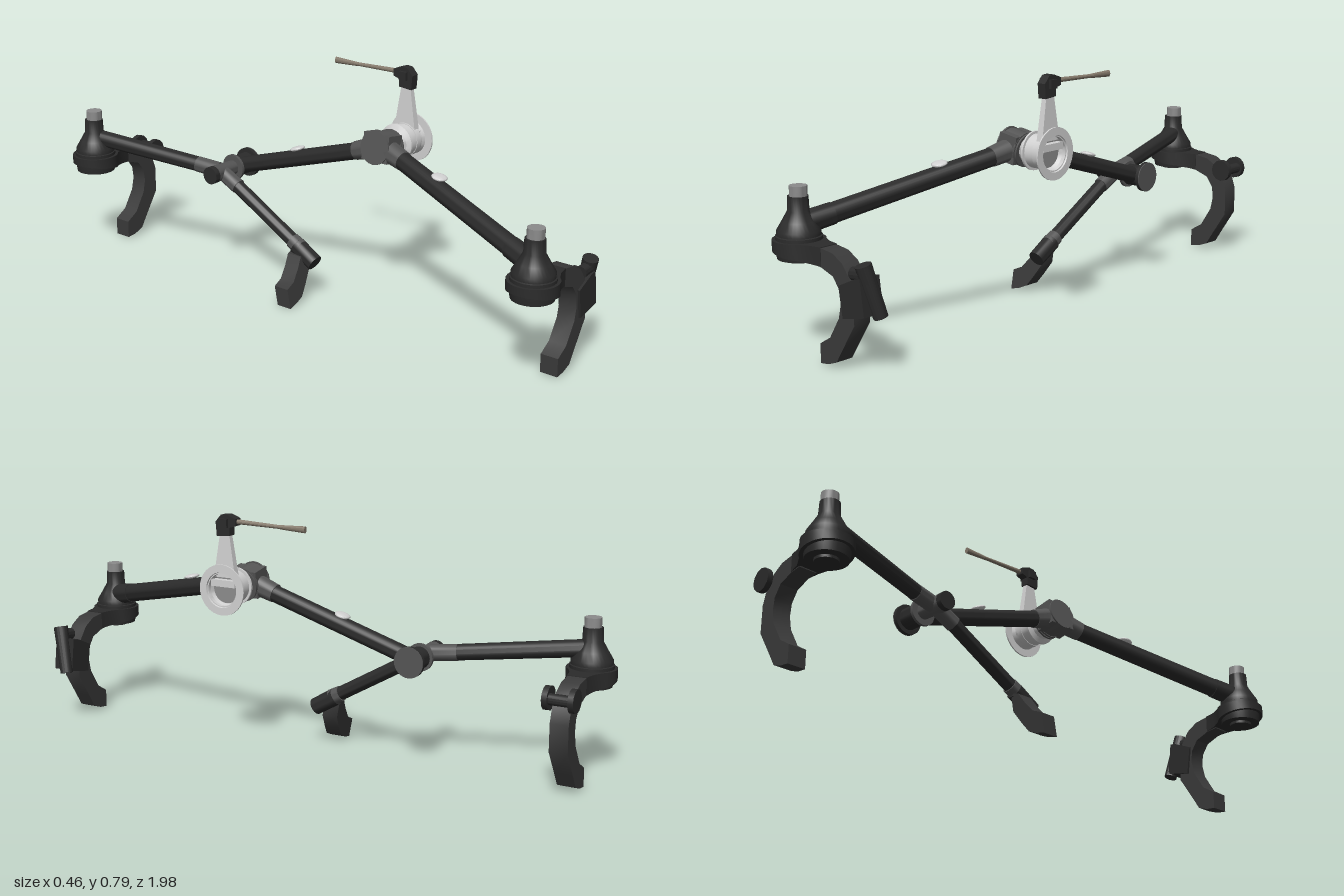
import * as THREE from 'three';
import { toCreasedNormals } from 'three/addons/utils/BufferGeometryUtils.js';

const mat = (name, color) => {
  const m = new THREE.MeshStandardMaterial({ color, side: THREE.DoubleSide });
  m.name = name;
  return m;
};

export function createModel() {
  const dark = mat('dark plastic', 0x2b2b2b);
  const arm = mat('charcoal arm', 0x3a3a3a);
  const joint = mat('grey joint', 0x555555);
  const cap = mat('grey cap', 0x8c8c8c);
  const light = mat('light grey', 0xd2d2d2);
  const beige = mat('beige rod', 0x857a6c);
  const root = new THREE.Group();
  root.name = 'frame';
  const V = (p) => new THREE.Vector3(...p);

  const add = (name, geo, m, parent = root) => {
    const mesh = new THREE.Mesh(toCreasedNormals(geo, 0.6), m);
    mesh.name = name;
    parent.add(mesh);
    return mesh;
  };
  // Round bar from point a to point b
  const rod = (name, a, b, ra, rb, m, parent = root, sides = 24) => {
    const d = V(b).sub(V(a));
    const mesh = add(name, new THREE.CylinderGeometry(rb, ra, d.length(), sides), m, parent);
    mesh.position.copy(V(a)).addScaledVector(d, 0.5);
    mesh.quaternion.setFromUnitVectors(new THREE.Vector3(0, 1, 0), d.normalize());
    return mesh;
  };
  const box = (name, size, pos, m, parent = root) => {
    const mesh = add(name, new THREE.BoxGeometry(...size), m, parent);
    mesh.position.set(...pos);
    return mesh;
  };
  // Outline in x and y, extruded evenly about z = 0
  const slab = (pts, depth) => {
    const shape = new THREE.Shape(pts.map((p) => new THREE.Vector2(...p)));
    return new THREE.ExtrudeGeometry(shape, { depth, bevelEnabled: false }).translate(0, 0, -depth / 2);
  };
  const lathe = (pts) => new THREE.LatheGeometry(pts.map((p) => new THREE.Vector2(...p)), 32);

  // End supports: foot plate, cone, post and curved hook
  const hookOutline = [
    [-0.06, 0.352], [-0.02, 0.35], [0.03, 0.343], [0.07, 0.32], [0.1, 0.28], [0.115, 0.235], [0.115, 0.145],
    [0.06, 0.06], [0.035, 0.02], [0, 0.007], [-0.034, 0.003], [-0.034, 0.063], [0.01, 0.09], [0.05, 0.155],
    [0.06, 0.2], [0.055, 0.24], [0.03, 0.275], [-0.02, 0.293], [-0.06, 0.297],
  ];
  const support = (name, z) => {
    const g = new THREE.Group();
    g.name = name;
    g.position.z = z;
    root.add(g);
    // Teardrop plate, thicker towards the hook
    const outline = [];
    for (let i = 0; i <= 24; i++) {
      const a = 0.75 + (i / 24) * (Math.PI * 2 - 1.5);
      outline.push([-0.15 + 0.08 * Math.cos(a), 0.08 * Math.sin(a)]);
    }
    outline.push([-0.06, -0.039], [-0.02, -0.031], [-0.02, 0.031], [-0.06, 0.039]);
    const plate = slab(outline, 0.03).rotateX(-Math.PI / 2);
    const p = plate.attributes.position;
    for (let i = 0; i < p.count; i++) {
      const bottom = 0.325 - 0.03 * Math.min(1, (p.getX(i) + 0.23) / 0.19);
      p.setY(i, p.getY(i) > 0 ? 0.352 : bottom);
    }
    add('footPlate', plate, dark, g);
    add('hook', slab(hookOutline, 0.06), arm, g);
    add('hub', lathe([[0, 0.285], [0.038, 0.285], [0.038, 0.294], [0.066, 0.294], [0.07, 0.325], [0.07, 0.362],
      [0.066, 0.364], [0.066, 0.378], [0.05, 0.405], [0.033, 0.435], [0.031, 0.48], [0, 0.48]]), dark, g)
      .position.x = -0.15;
    rod('postCap', [-0.147, 0.48, 0], [-0.147, 0.511, 0], 0.027, 0.027, cap, g);
    return g;
  };
  const front = support('frontSupport', 0.91);
  const rear = support('rearSupport', -0.91);

  // Front strap buckle
  const buckle = new THREE.Group();
  buckle.name = 'strapBuckle';
  front.add(buckle);
  add('buckleBody', slab([[0.06, 0.255], [0.125, 0.285], [0.15, 0.29], [0.165, 0.18], [0.135, 0.173], [0.075, 0.16]], 0.075), dark, buckle);
  rod('buckleLever', [0.147, 0.328, 0.02], [0.172, 0.172, -0.02], 0.025, 0.022, dark, buckle, 16);
  rod('bucklePin', [0.1, 0.295, 0.015], [0.15, 0.3, 0.015], 0.02, 0.02, dark, buckle, 12);

  // Rear strap reel
  for (const s of [-1, 1])
    rod('reelCheek', [0.105, 0.31, s * 0.032], [0.105, 0.31, s * 0.05], 0.038, 0.038, dark, rear, 12);
  rod('reelAxle', [0.118, 0.31, -0.04], [0.118, 0.31, 0.04], 0.018, 0.018, dark, rear, 16);

  // Main arms with grey collars
  rod('frontArm', [-0.14, 0.398, 0.89], [0.05, 0.53, 0.29], 0.032, 0.03, dark);
  rod('frontArmSocket', [-0.15, 0.392, 0.92], [-0.115, 0.415, 0.81], 0.036, 0.034, dark);
  rod('frontArmCollar', [0.047, 0.528, 0.3], [0.062, 0.545, 0.23], 0.032, 0.036, joint);
  rod('middleArm', [0.065, 0.52, 0.11], [0.065, 0.365, -0.39], 0.028, 0.028, dark);
  rod('middleArmCollar', [0.065, 0.545, 0.18], [0.065, 0.518, 0.1], 0.036, 0.031, joint);
  rod('rearArm', [-0.045, 0.371, -0.5], [-0.14, 0.412, -0.89], 0.026, 0.028, dark);
  rod('rearArmCollar', [-0.03, 0.363, -0.42], [-0.046, 0.371, -0.505], 0.027, 0.027, joint);
  rod('lowerArmCollar', [-0.03, 0.36, -0.41], [-0.03, 0.322, -0.335], 0.026, 0.026, joint);
  rod('lowerArm', [-0.03, 0.325, -0.34], [-0.03, 0.18, -0.085], 0.023, 0.023, dark);
  rod('lowerArmRing', [-0.03, 0.185, -0.095], [-0.03, 0.167, -0.06], 0.026, 0.027, joint);
  for (const pos of [[-0.004, 0.527, 0.475], [0.065, 0.473, -0.15]]) {
    const button = add('armButton', new THREE.SphereGeometry(0.026, 20, 10), light);
    button.scale.y = 0.3;
    button.position.set(...pos);
    button.rotation.x = pos[2] > 0 ? 0.2 : -0.3;
  }

  // Centre joint, slightly tilted
  const centre = new THREE.Group();
  centre.name = 'centreJoint';
  centre.position.set(0.066, 0.55, 0.2);
  centre.rotation.z = -0.17;
  root.add(centre);
  rod('jointBody', [-0.035, 0, 0], [0.035, 0, 0], 0.052, 0.052, joint, centre, 16);
  box('jointBlock', [0.07, 0.09, 0.1], [0, 0, 0], joint, centre);
  for (const x of [-0.037, 0.033, 0.043])
    rod('jointRing', [x - 0.003, 0, 0], [x + 0.003, 0, 0], 0.055, 0.055, joint, centre);

  // Dial with an open dished face
  const dial = add('dial', lathe([[0.03, 0.09], [0.04, 0.115], [0.047, 0.132], [0.062, 0.14], [0.062, 0.147],
    [0.054, 0.147], [0.054, 0.18], [0.056, 0.18], [0.056, 0.2], [0.053, 0.2], [0.053, 0.223], [0.083, 0.223], [0.083, 0.228],
    [0.058, 0.228], [0.049, 0.195], [0, 0.195]]), light);
  dial.rotation.z = -Math.PI / 2;
  dial.position.set(0, 0.547, 0.203);
  rod('dialFloor', [0.194, 0.547, 0.203], [0.198, 0.547, 0.203], 0.048, 0.048, cap);
  box('dialGrip', [0.022, 0.022, 0.09], [0.209, 0.567, 0.203], light);

  // Lever post, head and pointer rod
  const post = slab([[-0.04, 0.585], [0.04, 0.585], [0.017, 0.73], [-0.017, 0.73]], 0.024).rotateY(Math.PI / 2);
  const pp = post.attributes.position;
  for (let i = 0; i < pp.count; i++) if (pp.getY(i) > 0.7) pp.setX(i, pp.getX(i) * 0.7);
  add('leverPost', post, light).position.set(0.197, 0, 0.203);
  const head = slab([[-0.026, 0.718], [0.022, 0.722], [0.022, 0.748], [0.045, 0.755], [0.045, 0.778], [0.012, 0.79],
    [-0.01, 0.788], [-0.03, 0.765]], 0.03).rotateY(Math.PI / 2);
  add('leverHead', head, dark).position.set(0.196, 0, 0.203);
  box('headPin', [0.05, 0.028, 0.028], [0.196, 0.762, 0.2], dark);
  rod('pointerRod', [0.197, 0.768, 0.165], [0.197, 0.763, -0.01], 0.008, 0.006, beige, root, 12);
  const tip = rod('pointerTip', [0.197, 0.763, 0], [0.197, 0.762, -0.09], 0.007, 0.011, beige, root, 12);
  tip.scale.x = 0.7;

  // Rear joint, turned along x
  const pivot = (name, x0, x1, r0, r1, m) => rod(name, [x0, 0.36, -0.41], [x1, 0.36, -0.41], r0, r1, m);
  pivot('pivotEnd', -0.09, -0.07, 0.03, 0.03, dark);
  pivot('pivotBody', -0.07, 0.026, 0.03, 0.025, joint);
  pivot('pivotRing', 0.026, 0.036, 0.045, 0.045, joint);
  pivot('pivotDrum', 0.036, 0.1, 0.036, 0.036, dark);
  pivot('pivotFlange', 0.1, 0.112, 0.05, 0.05, dark);
  pivot('pivotFace', 0.112, 0.115, 0.05, 0.05, joint);

  // Lower foot, leaning forward towards the ground
  rod('footKnuckle', [-0.03, 0.172, -0.075], [-0.03, 0.127, 0.002], 0.029, 0.028, dark);
  const foot = slab([[-0.03, 0.1], [-0.06, 0.055], [-0.085, 0.022], [-0.115, 0.009], [-0.15, 0], [-0.15, 0.065],
    [-0.115, 0.08], [-0.085, 0.115], [-0.062, 0.15], [-0.03, 0.158]], 0.055);
  const fp = foot.attributes.position;
  for (let i = 0; i < fp.count; i++) fp.setZ(i, fp.getZ(i) - 0.032 - 0.19 * fp.getY(i));
  add('lowerFoot', foot, arm);

  return root;
}
